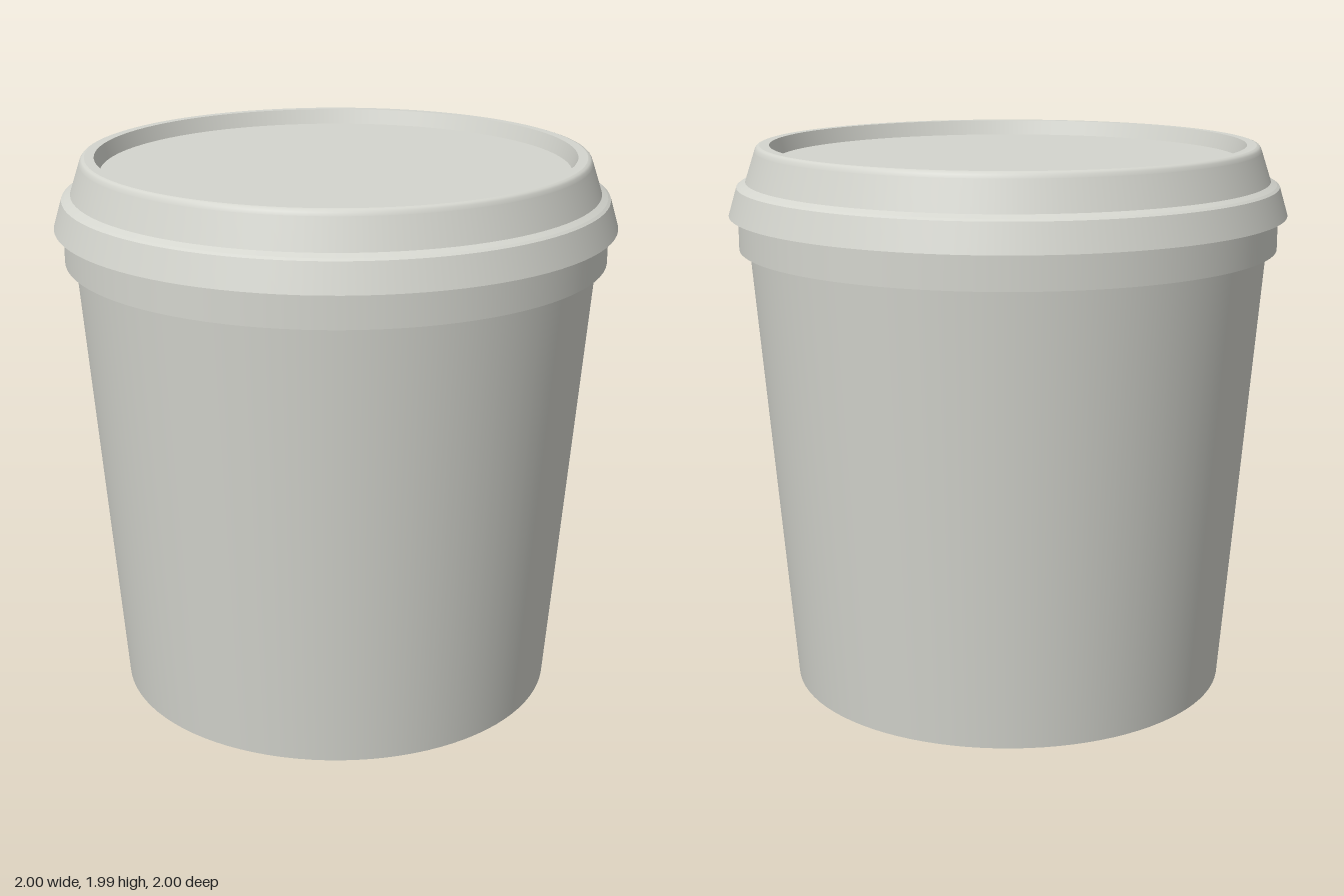
import * as THREE from 'three';
import { mergeGeometries } from 'three/addons/utils/BufferGeometryUtils.js';

const SEGMENTS = 96;

// Turns each run of [radius, height] points; runs are smooth inside, sharp where they meet
function turned(name, runs, material) {
  const parts = runs.map(run =>
    new THREE.LatheGeometry(run.map(([r, y]) => new THREE.Vector2(r, y)), SEGMENTS));
  const mesh = new THREE.Mesh(mergeGeometries(parts), material);
  mesh.name = name;
  return mesh;
}

// Splits a profile into one sharp-edged run per straight piece
const sharp = pts => pts.slice(1).map((p, i) => [pts[i], p]);

export function createModel() {
  const plastic = new THREE.MeshStandardMaterial({ color: 0xd4d5ce });
  plastic.name = 'pale grey plastic';

  const group = new THREE.Group();
  group.name = 'tubWithLid';

  // Tapered tub with recessed base, foot ring and collar
  group.add(turned('tub', sharp([
    [0, 0.085], [0.77, 0.085], [0.765, 0], [0.8, 0],
    [0.93, 1.62], [0.967, 1.62], [0.967, 1.74],
  ]), plastic));

  // Flared skirt of the lid, with a small step on top
  group.add(turned('lidSkirt', sharp([
    [0.965, 1.74], [1, 1.74], [0.97, 1.84], [0.96, 1.847], [0.938, 1.858],
  ]), plastic));

  // Sloped upper rim with a softly rounded shoulder
  group.add(turned('lidRim', [
    [[0.938, 1.858], [0.903, 1.964]],
    [[0.903, 1.964], [0.899, 1.975], [0.893, 1.982], [0.884, 1.985]],
    [[0.884, 1.985], [0.85, 1.985]],
    [[0.85, 1.985], [0.833, 1.93]],
  ], plastic));

  // Sunken lid panel
  group.add(turned('lidPanel', [[[0.833, 1.93], [0, 1.93]]], plastic));

  return group;
}
